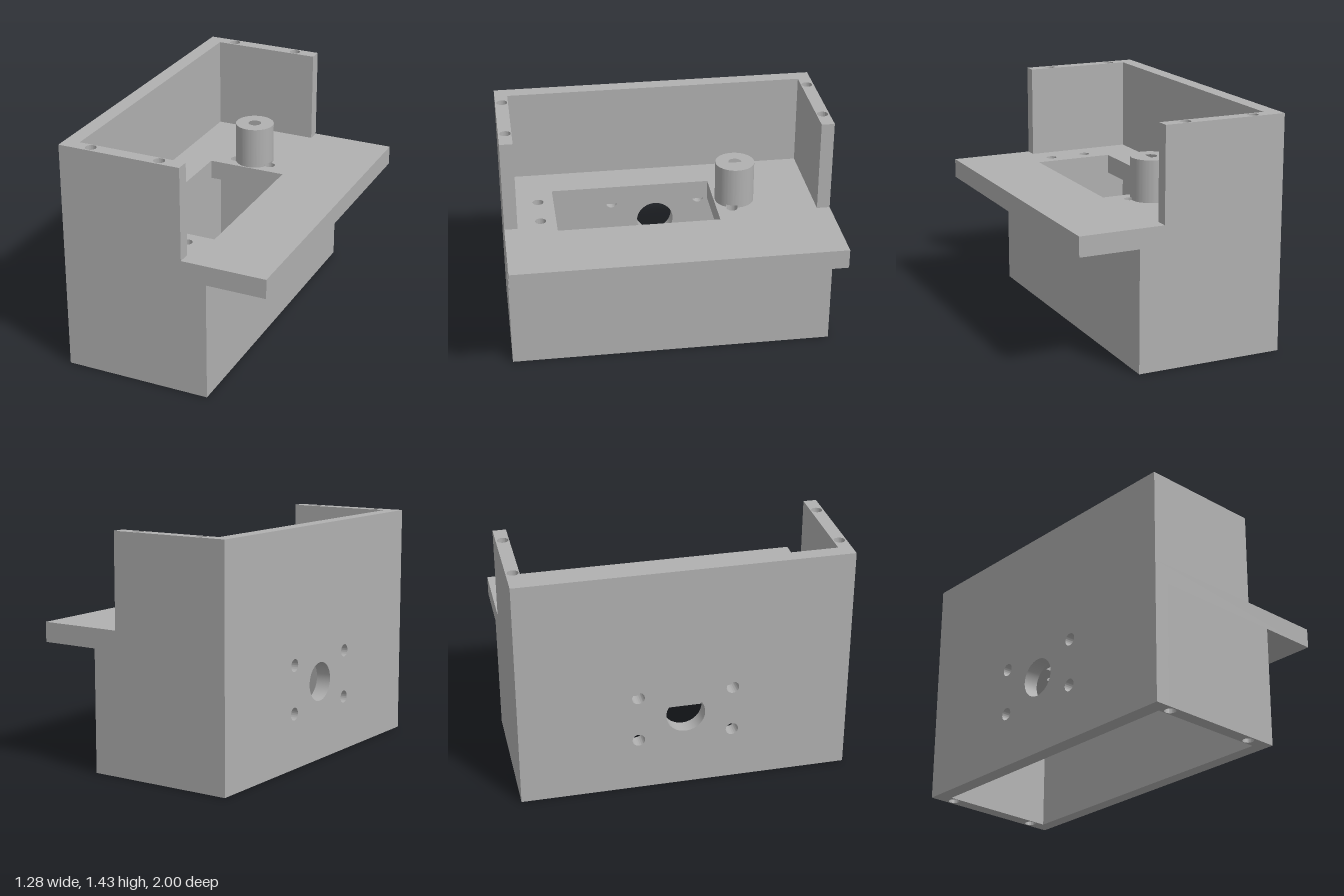
import * as THREE from 'three';
import { toCreasedNormals } from 'three/addons/utils/BufferGeometryUtils.js';

const SCREW_R = 0.033;

// Points are [x, z]; shapes are drawn in (x, -z) and extruded upwards.
const poly = (pts) => pts.map(([x, z]) => new THREE.Vector2(x, -z));
const circle = (u, v, r) => new THREE.Path().absarc(u, v, r, 0, Math.PI * 2, true);
const hole = (x, z, r = SCREW_R) => circle(x, -z, r);

export function createModel() {
  const group = new THREE.Group();
  const grey = new THREE.MeshStandardMaterial({ color: 0xb0b0b0 });
  grey.name = 'grey plastic';

  const extrude = (outline, holes, depth) => {
    const shape = new THREE.Shape(outline);
    shape.holes.push(...holes);
    return new THREE.ExtrudeGeometry(shape, { depth, bevelEnabled: false, curveSegments: 32 });
  };
  const add = (name, geo) => {
    const mesh = new THREE.Mesh(toCreasedNormals(geo, 0.6), grey);
    mesh.name = name;
    group.add(mesh);
  };
  const slab = (name, outline, holes, y0, y1) =>
    add(name, extrude(outline, holes, y1 - y0).rotateX(-Math.PI / 2).translate(0, y0, 0));

  // Screw holes in both end walls
  const endHoles = (xs) => xs.flatMap((x) => [hole(x, 0.958), hole(x, -0.958)]);

  // Shelf plate with window, mounting holes and the bore under the boss
  const boss = { x: -0.075, z: -0.435, r: 0.12, bore: 0.04 };
  const mounts = [[-0.192, -0.402], [0.045, -0.402], [-0.192, 0.777], [0.045, 0.777]];
  const window = new THREE.Path(poly([[-0.322, -0.307], [0.174, -0.307], [0.174, 0.682], [-0.322, 0.682]]));
  slab('shelfPlate', poly([[-0.64, 1], [0.64, 1], [0.64, -1], [-0.64, -1]]),
    [window, ...mounts.map(([x, z]) => hole(x, z)), hole(boss.x, boss.z, boss.bore)], 0.74, 0.86);

  // Upper U-shaped wall, blind screw holes from the top
  const upper = poly([[-0.64, 1], [0.118, 1], [0.118, 0.92], [-0.548, 0.92],
    [-0.548, -0.92], [0.118, -0.92], [0.118, -1], [-0.64, -1]]);
  slab('upperWall', upper, [], 0.86, 1.13);
  slab('upperWallRim', upper, endHoles([-0.455, -0.025]), 1.13, 1.43);

  // Lower housing: front and end walls, blind screw holes from below
  const lower = poly([[-0.548, 1], [0.272, 1], [0.272, -1], [-0.548, -1],
    [-0.548, -0.92], [0.192, -0.92], [0.192, 0.92], [-0.548, 0.92]]);
  slab('lowerWallRim', lower, endHoles([-0.5, 0.115]), 0, 0.3);
  slab('lowerWall', lower, [], 0.3, 0.74);

  // Lower back wall with a shaft hole and four bolt holes
  const backHoles = [circle(0, 0.48, 0.118)];
  for (const u of [-0.285, 0.285])
    for (const v of [0.335, 0.625]) backHoles.push(circle(u, v, 0.038));
  const backOutline = [[-1, 0], [1, 0], [1, 0.74], [-1, 0.74]].map(([u, v]) => new THREE.Vector2(u, v));
  add('lowerBackWall', extrude(backOutline, backHoles, 0.092).rotateY(Math.PI / 2).translate(-0.64, 0, 0));

  // Hollow boss; its foot is notched where the mounting holes cut in
  const bossOutline = (notched) => Array.from({ length: 96 }, (_, i) => {
    const a = (i / 96) * Math.PI * 2, c = Math.cos(a), s = Math.sin(a);
    let r = boss.r;
    if (notched) for (const [mx, mz] of mounts.slice(0, 2)) {
      const dx = mx - boss.x, dz = mz - boss.z;
      const along = dx * c + dz * s, off = dx * s - dz * c;
      if (along > 0 && Math.abs(off) < SCREW_R)
        r = Math.min(r, along - Math.sqrt(SCREW_R ** 2 - off ** 2));
    }
    return [boss.x + c * r, boss.z + s * r];
  });
  const bore = () => [hole(boss.x, boss.z, boss.bore)];
  slab('bossFoot', poly(bossOutline(true)), bore(), 0.86, 0.875);
  slab('boss', poly(bossOutline(false)), bore(), 0.875, 1.117);

  return group;
}
